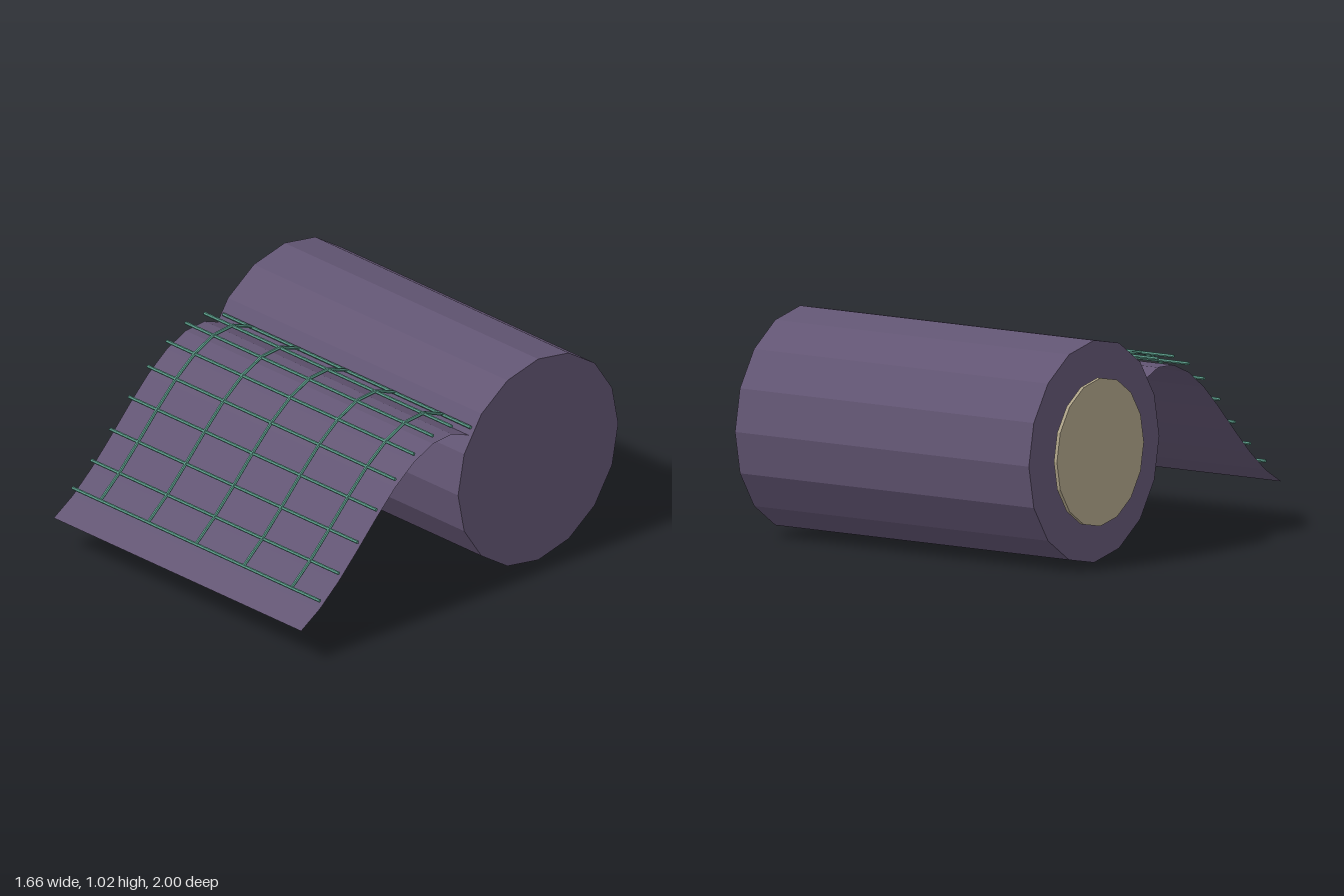
import * as THREE from 'three';

const paint = (color, extra = {}) => new THREE.MeshStandardMaterial({ color, flatShading: true, ...extra });

export function createModel() {
  const model = new THREE.Group();
  const purple = paint(0x625573);
  const teal = paint(0x5a9a88);
  const cream = paint(0xada288);

  const add = (parent, name, geometry, material, x = 0, y = 0, z = 0) => {
    const mesh = new THREE.Mesh(geometry, material);
    mesh.name = name;
    mesh.position.set(x, y, z);
    parent.add(mesh);
    return mesh;
  };

  // Cylinder lying along x, a corner at the very top
  const drum = (name, radius, x0, x1, material) => {
    const geometry = new THREE.CylinderGeometry(radius, radius, x1 - x0, 16).rotateZ(Math.PI / 2);
    return add(model, name, geometry, material, (x0 + x1) / 2, 0.51, -0.49);
  };
  drum('roll', 0.51, -0.8, 0.83, purple);
  drum('endDisc', 0.34, -0.835, -0.818, cream);

  // Height of the grid along the unrolled length, from inside the roll to the front
  const heights = [0.715, 0.812, 0.86, 0.855, 0.805, 0.72, 0.608, 0.487, 0.372, 0.275, 0.205];
  const zAt = (i) => -0.2 + 0.12 * i;
  const centreX = 0.015, width = 1.59;

  // Thin sheet hanging just under the grid
  const sheet = new THREE.PlaneGeometry(width, 1.2, 1, 10).rotateX(-Math.PI / 2);
  const pos = sheet.attributes.position;
  for (let v = 0; v < pos.count; v++) {
    const row = Math.floor(v / 2);
    pos.setY(v, heights[row] - 0.04);
    pos.setZ(v, zAt(row));
  }
  sheet.computeVertexNormals();
  add(model, 'sheet', sheet, paint(0x625573, { side: THREE.DoubleSide }), centreX);

  // Grid of rods
  const grid = new THREE.Group();
  grid.name = 'grid';
  model.add(grid);
  for (let i = 1; i <= 9; i++) {
    const rod = new THREE.CylinderGeometry(0.008, 0.008, width, 6).rotateZ(Math.PI / 2);
    add(grid, 'crossRod', rod, teal, centreX, heights[i], zAt(i));
  }

  // Lengthwise rods follow the same profile in straight pieces
  const path = new THREE.CurvePath();
  const points = [new THREE.Vector3(0, 0.795, -0.1)];
  for (let i = 1; i <= 9; i++) points.push(new THREE.Vector3(0, heights[i] + 0.004, zAt(i)));
  for (let i = 1; i < points.length; i++) path.add(new THREE.LineCurve3(points[i - 1], points[i]));
  const longRod = new THREE.TubeGeometry(path, 54, 0.008, 6);
  for (let k = -2; k <= 2; k++) add(grid, 'longRod', longRod, teal, centreX + 0.307 * k);

  return model;
}
